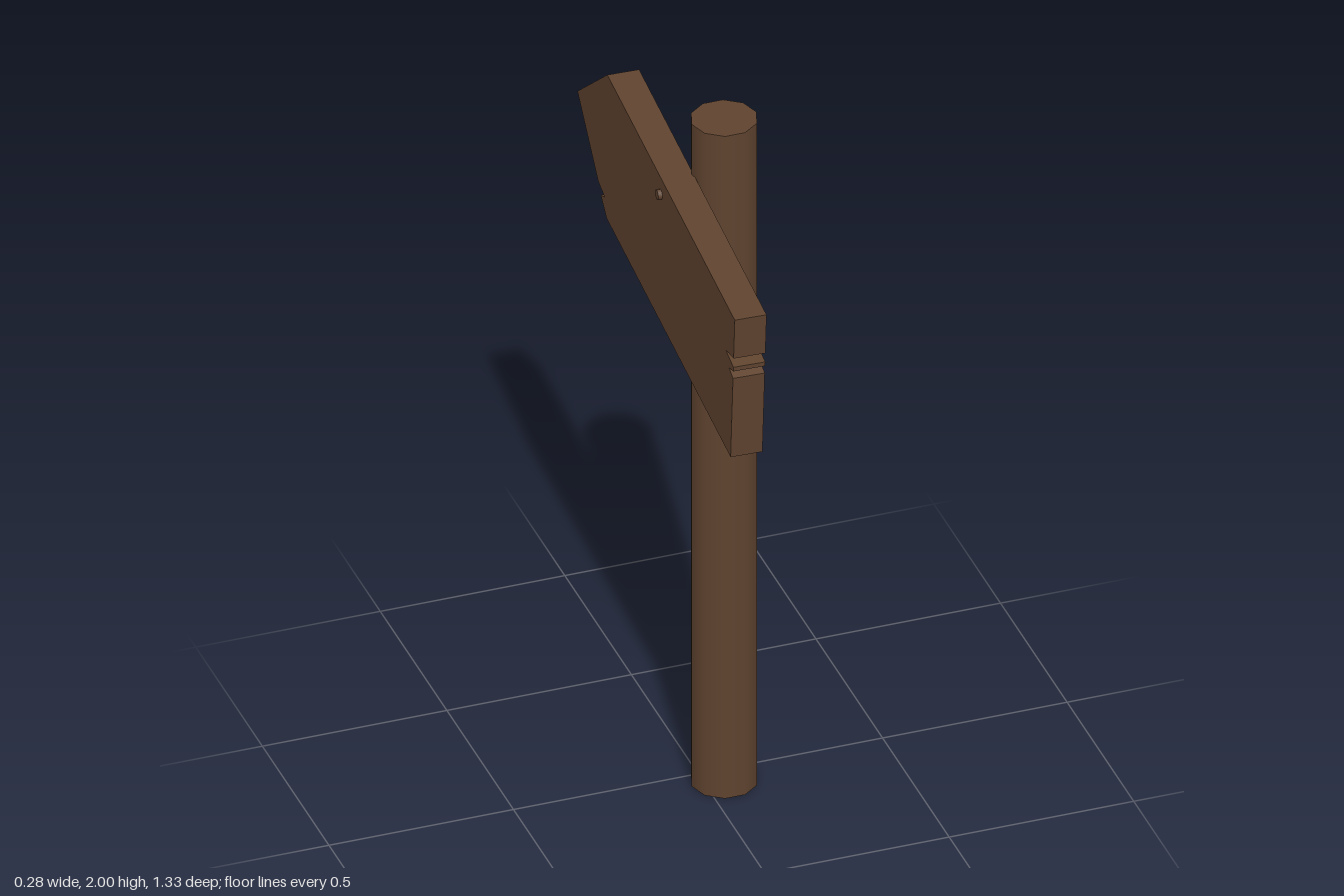
import * as THREE from 'three';

export function createModel() {
  const group = new THREE.Group();
  const wood = new THREE.MeshStandardMaterial({ color: 0x5f432f, side: THREE.DoubleSide });
  wood.name = 'brown wood';

  const add = (name, geometry, parent = group) => {
    const mesh = new THREE.Mesh(geometry, wood);
    mesh.name = name;
    parent.add(mesh);
    return mesh;
  };

  // Ten-sided post, hollow at the foot, with a flat cap on top
  const radius = 0.0875;
  const post = new THREE.Group();
  post.name = 'post';
  post.position.set(0.052, 0, 0.051);
  group.add(post);
  add('postSide', new THREE.CylinderGeometry(radius, radius, 2, 10, 1, true, Math.PI / 2), post).position.y = 1;
  const cap = add('postTop', new THREE.CircleGeometry(radius, 10), post);
  cap.rotation.x = -Math.PI / 2;
  cap.position.y = 2;

  // Arrow board, turned slightly about the post
  const sign = new THREE.Group();
  sign.name = 'sign';
  sign.position.x = -0.071;
  sign.rotation.y = -0.0394;
  group.add(sign);

  // Outline as [z, y], with splits in the tail and under the point
  const outline = [
    [0.665, 1.797], [0.655, 1.675], [0.588, 1.661], [0.654, 1.648],
    [0.653, 1.635], [0.617, 1.624], [0.65, 1.612], [0.63, 1.362],
    [-0.416, 1.449], [-0.465, 1.49], [-0.432, 1.503], [-0.487, 1.518],
    [-0.662, 1.684], [-0.41, 1.886],
  ];
  const thickness = 0.085;
  const shape = new THREE.Shape(outline.map(([z, y]) => new THREE.Vector2(-z, y)));
  const board = new THREE.ExtrudeGeometry(shape, { depth: thickness, bevelEnabled: false });
  board.translate(0, 0, -thickness / 2).rotateY(Math.PI / 2);
  add('arrowBoard', board, sign);

  // Nail head on the outer face
  const nail = new THREE.CylinderGeometry(0.014, 0.014, 0.012, 8).rotateZ(Math.PI / 2);
  add('nailHead', nail, sign).position.set(-0.0475, 1.8, 0.042);

  return group;
}
